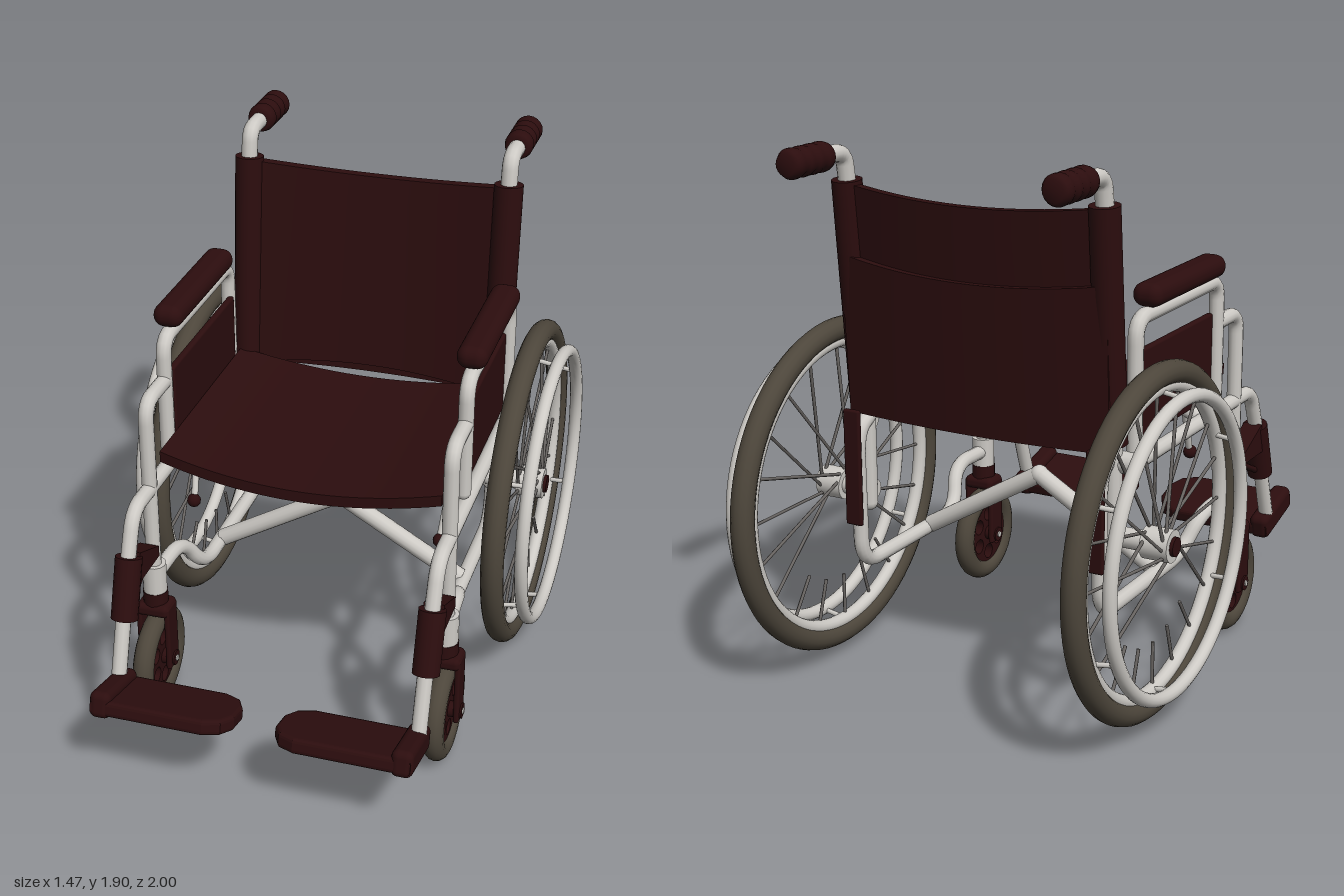
import * as THREE from 'three';
import { RoundedBoxGeometry } from 'three/addons/geometries/RoundedBoxGeometry.js';

const V = (x, y, z) => new THREE.Vector3(x, y, z);
const mat = (name, color, side = THREE.FrontSide) => {
  const m = new THREE.MeshStandardMaterial({ color, side });
  m.name = name;
  return m;
};

export function createModel() {
  const root = new THREE.Group();
  root.name = 'wheelchair';
  const metal = mat('painted metal', 0xcdcac5);
  const maroon = mat('dark maroon', 0x2c0d0e);
  const rubber = mat('tyre rubber', 0x4d463b);
  const wire = mat('spoke wire', 0x6a6663);

  const add = (parent, name, geo, material, x = 0, y = 0, z = 0) => {
    const m = new THREE.Mesh(geo, material);
    m.name = name;
    m.position.set(x, y, z);
    parent.add(m);
    return m;
  };

  // Straight round bar between two points
  const rod = (parent, name, a, b, r, material, sides = 14) => {
    const d = b.clone().sub(a);
    const m = add(parent, name, new THREE.CylinderGeometry(r, r, d.length(), sides), material);
    m.position.copy(a).add(b).multiplyScalar(0.5);
    m.quaternion.setFromUnitVectors(V(0, 1, 0), d.normalize());
    return m;
  };

  // Bent pipe: straight runs joined by rounded corners, with domed ends
  const pipe = (parent, name, pts, r = 0.027, bend = 0.07) => {
    const path = new THREE.CurvePath();
    let from = pts[0];
    for (let i = 1; i < pts.length - 1; i++) {
      const p = pts[i];
      const toward = (q) => p.clone().lerp(q, Math.min(0.45, bend / p.distanceTo(q)));
      const a = toward(pts[i - 1]), b = toward(pts[i + 1]);
      path.add(new THREE.LineCurve3(from, a));
      path.add(new THREE.QuadraticBezierCurve3(a, p, b));
      from = b;
    }
    const end = pts[pts.length - 1];
    path.add(new THREE.LineCurve3(from, end));
    add(parent, name, new THREE.TubeGeometry(path, 16 * pts.length, r, 12), metal);
    for (const p of [pts[0], end]) add(parent, name + 'End', new THREE.SphereGeometry(r, 12, 8), metal, p.x, p.y, p.z);
  };

  // Cloth slab: a subdivided box whose vertices are moved by a rule
  const cloth = (name, rule) => {
    const g = new THREE.BoxGeometry(2, 1, 1, 24, 8, 1);
    const p = g.attributes.position;
    for (let i = 0; i < p.count; i++) p.setXYZ(i, ...rule(p.getX(i), p.getY(i) + 0.5, p.getZ(i)));
    g.computeVertexNormals();
    add(root, name, g, maroon);
  };
  const sag = (u) => 1 - u * u;
  cloth('backrest', (u, v, w) => [0.47 * u, 0.97 + 0.78 * v - 0.03 * sag(u) * (2 * v - 1),
    -0.425 - 0.075 * v - sag(u) * 0.045 + w * 0.035]);
  cloth('backrestRearPanel', (u, v, w) => [0.5 * u, 0.95 + 0.52 * v + 0.04 * u * u * v,
    -0.475 - 0.03 * v - sag(u) * 0.04 + w * 0.03]);
  cloth('seat', (u, v, w) => [0.495 * u, 1.01 - 0.05 * sag(u) + w * 0.04,
    0.43 + 0.035 * sag(u) - (0.83 + 0.035 * sag(u)) * v]);

  // Folding brace under the seat
  for (const s of [-1, 1]) {
    rod(root, 'crossBrace', V(s * 0.46, 0.4, -0.05), V(0, 0.67, -0.05), 0.032, metal);
  }
  add(root, 'bracePivot', new THREE.SphereGeometry(0.034, 14, 10), metal, 0, 0.67, -0.05);

  for (const s of [-1, 1]) {
    const side = new THREE.Group();
    side.name = s > 0 ? 'leftSide' : 'rightSide';
    root.add(side);
    const P = (x, y, z) => V(s * x, y, z);
    const line = (x, yz) => yz.map(([y, z]) => P(x, y, z));

    // Frame tubes
    pipe(side, 'frontPost', line(0.53, [[0.46, 0.45], [1.22, 0.45], [1.22, 0.27]]));
    pipe(side, 'armrestTube', line(0.53, [[0.96, 0.27], [1.375, 0.27], [1.375, -0.37], [0.9, -0.37]]));
    pipe(side, 'footrestTube', line(0.53, [[0.89, -0.4], [0.89, 0.6], [0.72, 0.67], [0.34, 0.8]]));
    pipe(side, 'lowerFrame', [P(0.47, 0.93, -0.41), P(0.47, 0.88, -0.5), P(0.47, 0.39, -0.49),
      P(0.47, 0.39, 0.13), P(0.52, 0.54, 0.22), P(0.53, 0.53, 0.45)], 0.027, 0.1);
    pipe(side, 'backPost', line(0.48, [[0.6, -0.42], [0.97, -0.42], [1.77, -0.5], [1.855, -0.515], [1.855, -0.64]]), 0.03, 0.06);
    rod(side, 'frontPostCollar', P(0.53, 0.47, 0.45), P(0.53, 0.585, 0.45), 0.043, metal);
    rod(side, 'frameSocket', P(0.47, 0.9, -0.4), P(0.55, 0.9, -0.4), 0.038, metal);
    rod(side, 'seatBracket', P(0.43, 0.93, 0.18), P(0.53, 0.89, 0.18), 0.025, metal);
    rod(side, 'brakeLever', P(0.46, 0.9, 0.18), P(0.45, 0.76, 0.24), 0.012, metal);
    add(side, 'brakeKnob', new THREE.SphereGeometry(0.025, 12, 8), maroon, s * 0.45, 0.74, 0.25);

    // Upholstery on the frame
    rod(side, 'backrestSleeve', P(0.48, 0.97, -0.43), P(0.48, 1.76, -0.5), 0.052, maroon, 20);
    add(side, 'lowerBackStrip', new RoundedBoxGeometry(0.065, 0.42, 0.02, 2, 0.008), maroon, s * 0.47, 0.76, -0.527);
    add(side, 'armrestPad', new RoundedBoxGeometry(0.105, 0.08, 0.56, 4, 0.038), maroon, s * 0.53, 1.437, -0.035);
    add(side, 'sidePanel', new RoundedBoxGeometry(0.025, 0.31, 0.61, 2, 0.01), maroon, s * 0.515, 1.105, -0.055);

    // Ribbed push grip
    const profile = [[0, 0], [0.036, 0], [0.046, 0.012]];
    for (let i = 0; i < 4; i++) profile.push([0.051, 0.03 + i * 0.05], [0.051, 0.05 + i * 0.05], [0.045, 0.06 + i * 0.05]);
    profile.push([0.036, 0.225], [0, 0.225]);
    const grip = add(side, 'pushGrip', new THREE.LatheGeometry(profile.map(([r, h]) => new THREE.Vector2(r, h)), 20),
      maroon, s * 0.48, 1.855, -0.61);
    grip.rotation.x = -Math.PI / 2;

    // Leg clamp with its pointed rear flap
    rod(side, 'legClamp', P(0.53, 0.74, 0.657), P(0.53, 0.53, 0.725), 0.047, maroon, 16);
    const flap = new THREE.Shape([[0.64, 0.75], [0.48, 0.68], [0.48, 0.64], [0.66, 0.64]].map(([z, y]) => new THREE.Vector2(-z, y)));
    const flapGeo = new THREE.ExtrudeGeometry(flap, { depth: 0.07, bevelEnabled: false });
    flapGeo.translate(0, 0, -0.035).rotateY(Math.PI / 2);
    add(side, 'legClampFlap', flapGeo, maroon, s * 0.53);
    rod(side, 'legClampStrut', P(0.53, 0.64, 0.49), P(0.53, 0.55, 0.69), 0.012, maroon, 8);

    // Footrest: tilted plate with a rounded inner end and a thicker outer block
    const foot = new THREE.Group();
    foot.name = 'footrest';
    foot.position.set(0, 0.325, 0.87);
    foot.rotation.x = -0.25;
    side.add(foot);
    const plate = new THREE.Shape([[0.54, -0.115], [0.16, -0.115], [0.11, -0.09], [0.085, -0.04], [0.085, 0.04],
      [0.11, 0.09], [0.16, 0.115], [0.54, 0.115]].map(([x, z]) => new THREE.Vector2(s * x, z)));
    const plateGeo = new THREE.ExtrudeGeometry(plate, { depth: 0.025, bevelSize: 0.013, bevelThickness: 0.015, bevelSegments: 3 });
    plateGeo.translate(0, 0, -0.0125).rotateX(Math.PI / 2);
    add(foot, 'footPlate', plateGeo, maroon, 0, -0.008, 0);
    add(foot, 'footPlateBlock', new RoundedBoxGeometry(0.075, 0.095, 0.262, 3, 0.025), maroon, s * 0.522, 0, 0);

    // Front caster
    const caster = new THREE.Group();
    caster.name = 'caster';
    caster.position.set(s * 0.53, 0.19, 0.45);
    side.add(caster);
    add(caster, 'casterTyre', new THREE.TorusGeometry(0.15, 0.038, 14, 40), rubber).rotation.y = Math.PI / 2;
    const disc = new THREE.Shape().absarc(0, 0, 0.128, 0, Math.PI * 2);
    for (let i = 0; i < 6; i++) {
      const a = (i + 0.5) * Math.PI / 3;
      disc.holes.push(new THREE.Path().absarc(Math.cos(a) * 0.08, Math.sin(a) * 0.08, 0.029, 0, Math.PI * 2, true));
    }
    const discGeo = new THREE.ExtrudeGeometry(disc, { depth: 0.04, bevelEnabled: false, curveSegments: 16 });
    add(caster, 'casterHub', discGeo.translate(0, 0, -0.02).rotateY(Math.PI / 2), maroon);
    rod(caster, 'casterAxle', V(-0.068, 0, 0), V(0.068, 0, 0), 0.028, maroon);
    rod(caster, 'casterAxleBolt', V(-0.073, 0, 0), V(0.073, 0, 0), 0.011, metal);
    for (const k of [-1, 1]) {
      add(caster, 'forkLeg', new RoundedBoxGeometry(0.02, 0.26, 0.085, 3, 0.009), maroon, k * 0.052, 0.1, 0);
    }
    add(caster, 'forkCrown', new RoundedBoxGeometry(0.122, 0.05, 0.1, 3, 0.02), maroon, 0, 0.215, 0);
    rod(caster, 'forkStem', V(0, 0.22, 0), V(0, 0.285, 0), 0.045, maroon);

    // Large drive wheel
    const wheel = new THREE.Group();
    wheel.name = 'driveWheel';
    wheel.position.set(s * 0.62, 0.64, -0.395);
    side.add(wheel);
    const ring = (name, R, r, material, x) => {
      add(wheel, name, new THREE.TorusGeometry(R, r, 14, 80), material, s * x).rotation.y = Math.PI / 2;
    };
    ring('tyre', 0.565, 0.041, rubber, 0);
    ring('rim', 0.523, 0.025, metal, 0);
    ring('handRim', 0.5, 0.024, metal, 0.09);
    rod(wheel, 'axle', V(s * -0.15, 0, 0), V(s * 0.05, 0, 0), 0.035, metal, 20);
    rod(wheel, 'hub', V(s * -0.03, 0, 0), V(s * 0.068, 0, 0), 0.056, metal, 24);
    rod(wheel, 'hubCap', V(s * 0.05, 0, 0), V(s * 0.08, 0, 0), 0.033, maroon, 20);

    // Spokes lean slightly; the lowest ones are short stubs at the rim
    for (let i = 0; i < 20; i++) {
      const a = -Math.PI / 2 + i * Math.PI / 10;
      const at = (r, t, x) => V(s * x, Math.sin(t) * r, Math.cos(t) * r);
      const stub = Math.min(i, 20 - i) <= 2;
      const inner = stub ? at(0.35, a, 0) : at(0.05, a + (i % 2 ? 0.7 : -0.7), i % 2 ? 0.05 : -0.02);
      rod(wheel, 'spoke', inner, at(0.51, a, 0), 0.006, wire, 6);
    }
    for (let i = 0; i < 6; i++) {
      const a = i * Math.PI / 3 + 0.5;
      const y = Math.sin(a), z = Math.cos(a);
      rod(wheel, 'handRimStandoff', V(0, y * 0.515, z * 0.515), V(s * 0.09, y * 0.5, z * 0.5), 0.009, metal, 8);
    }
  }
  return root;
}
